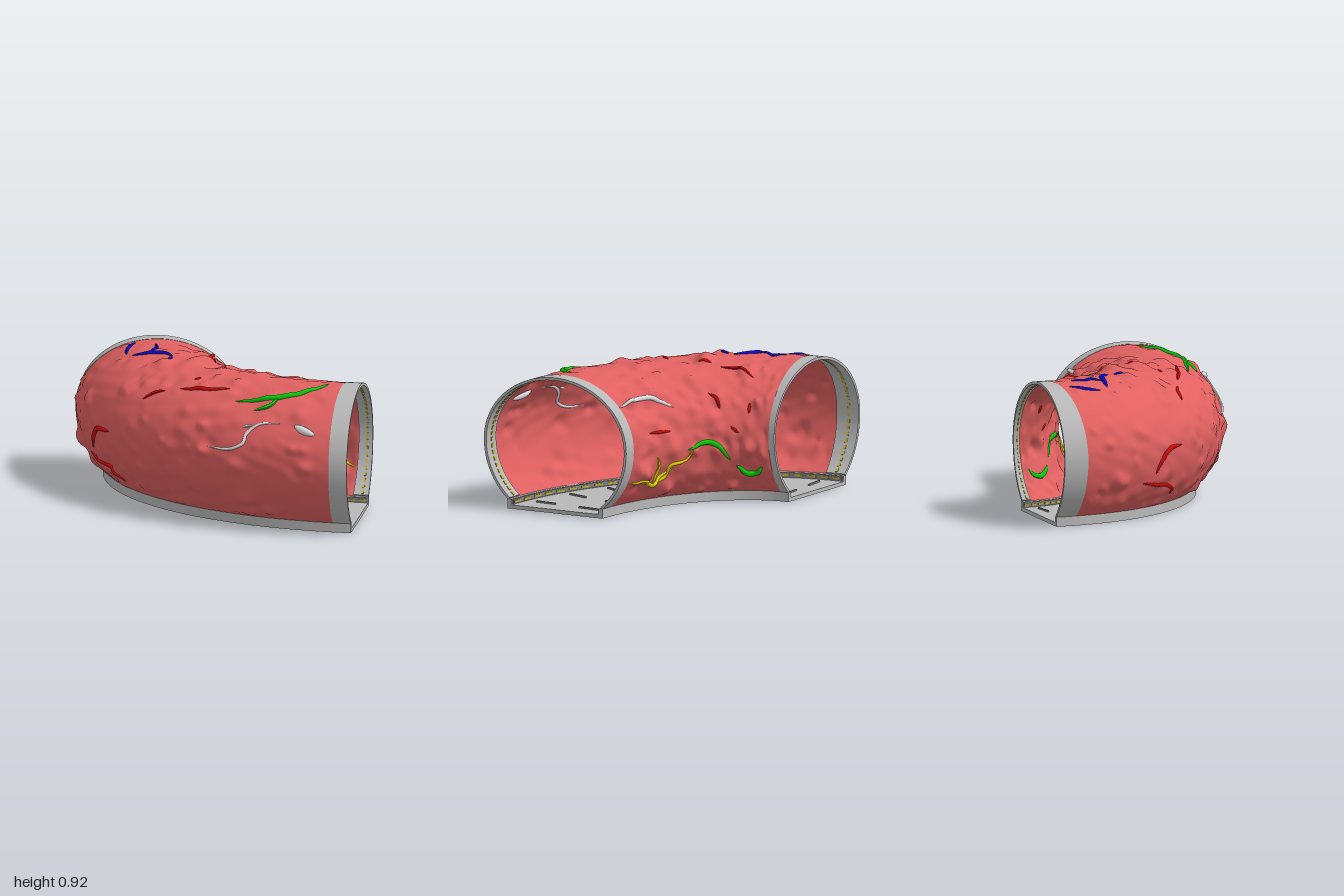
import * as THREE from 'three';
import { mergeGeometries, toCreasedNormals } from 'three/addons/utils/BufferGeometryUtils.js';

const HALF = Math.PI / 2, W = 0.53, MID = 0.44, A0 = -0.849, A1 = Math.PI + 0.849;
const mat = (name, color) => Object.assign(new THREE.MeshStandardMaterial({ color, side: THREE.DoubleSide }), { name });

// The tunnel follows a quarter ellipse: t = angle along it, u = offset across it.
const at = (t, u, y) => new THREE.Vector3(1 - (1.47 + u) * Math.cos(t), y, -0.8 + (1.07 + u) * Math.sin(t));
const rise = (s) => (s > 0 ? 0.44 : 0.506);
// Point on the arched section at angle a, pushed outward by d.
const arch = (t, a, d = 0) => {
  const c = Math.cos(a), s = Math.sin(a);
  return at(t, (W + d) * c, MID + (rise(s) + d) * s);
};
// Where the tissue wall meets the two end collars.
const startT = (a) => 0.0875 + 0.0125 * Math.cos(a);
const endT = (a) => HALF - 0.077 + 0.018 * Math.cos(a);

// Seeded lumps over the wall
let seed = 7;
const rnd = () => ((seed = (seed * 16807) % 2147483647) / 2147483647);
const lumps = Array.from({ length: 330 }, () => {
  const a = A0 + rnd() * (A1 - A0), inner = Math.cos(a) < 0;
  return {
    t: rnd() * HALF, a, r: 0.035 + rnd() * 0.04,
    h: (rnd() < 0.22 ? -0.012 : 0.006 + 0.024 * rnd() ** 3) * (inner ? 1.3 : 1),
  };
});
function bump(t, a) {
  let d = 0.003 * Math.sin(t * 31 + 3 * Math.sin(a * 5)) * Math.sin(a * 13 + t * 9);
  for (const l of lumps) {
    const x = (t - l.t) * (1.27 + 0.5 * Math.cos(a)), y = (a - l.a) * 0.5;
    const q = (x * x + y * y) / (l.r * l.r);
    if (q < 5) d += l.h * Math.exp(-q * 1.6);
  }
  const edge = Math.min(t - startT(a), endT(a) - t, (a - A0) * 0.6, (A1 - a) * 0.6);
  return d * THREE.MathUtils.clamp(edge / 0.06, 0, 1);
}

// Grid surface from rows of points
function surface(rows) {
  const n = rows[0].length, pos = [], idx = [];
  rows.forEach((row, i) => row.forEach((p, j) => {
    pos.push(p.x, p.y, p.z);
    if (i && j) {
      const d = i * n + j, b = d - n;
      idx.push(b - 1, d - 1, b, b, d - 1, d);
    }
  }));
  const g = new THREE.BufferGeometry();
  g.setAttribute('position', new THREE.Float32BufferAttribute(pos, 3));
  g.setIndex(idx);
  g.computeVertexNormals();
  return g;
}

// Capped solid swept through four-cornered sections
function solid(n, section) {
  const rows = [];
  for (let i = 0; i <= n; i++) {
    const s = section(i / n);
    rows.push([...s, s[0]]);
  }
  const cap = (r) => {
    const c = new THREE.Vector3();
    for (let k = 0; k < 4; k++) c.addScaledVector(r[k], 0.25);
    return r.map(() => c);
  };
  return toCreasedNormals(surface([cap(rows[0]), ...rows, cap(rows[n])]), 0.6);
}
const mix = THREE.MathUtils.lerp;
// Bar running along the tunnel
const rail = (n, t0, t1, u0, u1, y0, y1) => solid(n, (k) => {
  const t = mix(t0, t1, k);
  return [at(t, u0, y0), at(t, u1, y0), at(t, u1, y1), at(t, u0, y1)];
});
// Band running around the arch between t = f0(a) and f1(a)
const band = (n, a0, a1, f0, f1, d0, d1) => solid(n, (k) => {
  const a = mix(a0, a1, k);
  return [arch(f0(a), a, d0), arch(f1(a), a, d0), arch(f1(a), a, d1), arch(f0(a), a, d1)];
});

// Locators giving [t, a] on the wall from plan, front or side positions
const angleOf = (y, side) => {
  const a = Math.asin(THREE.MathUtils.clamp((y - MID) / rise(y - MID), -0.75, 1));
  return side > 0 ? a : Math.PI - a;
};
const unit = (v) => THREE.MathUtils.clamp(v, 0, 1);
const plan = ([x, z]) => {
  let lo = -W, hi = W;
  for (let i = 0; i < 30; i++) {
    const u = (lo + hi) / 2;
    if (Math.hypot((1 - x) / (1.47 + u), (z + 0.8) / (1.07 + u)) > 1) lo = u; else hi = u;
  }
  return [Math.atan2((z + 0.8) / (1.07 + lo), (1 - x) / (1.47 + lo)), Math.acos(lo / W)];
};
const front = (side) => ([x, y]) => {
  const a = angleOf(y, side);
  return [Math.acos(unit((1 - x) / (1.47 + W * Math.cos(a)))), a];
};
const flank = (side) => ([z, y]) => {
  const a = angleOf(y, side);
  return [Math.asin(unit((z + 0.8) / (1.07 + W * Math.cos(a)))), a];
};

// Tapered vessel lying in the wall
function vein(locate, points, radius) {
  const path = new THREE.CatmullRomCurve3(points.map((p) => new THREE.Vector3(...locate(p), 0)));
  const n = 28, R = 8;
  const curve = new THREE.CatmullRomCurve3(path.getPoints(n).map((p) => arch(p.x, p.y, bump(p.x, p.y) + 0.002)));
  const g = new THREE.TubeGeometry(curve, n, radius, R, false);
  const pos = g.attributes.position, v = new THREE.Vector3();
  for (let i = 0; i <= n; i++) {
    const c = curve.getPointAt(i / n), s = Math.max(0.05, Math.sin((Math.PI * i) / n) ** 0.6);
    for (let j = 0; j <= R; j++) {
      const k = i * (R + 1) + j;
      v.fromBufferAttribute(pos, k).sub(c).multiplyScalar(s).add(c);
      pos.setXYZ(k, v.x, v.y, v.z);
    }
  }
  g.computeVertexNormals();
  return g;
}

export function createModel() {
  const model = new THREE.Group();
  const grey = mat('frame grey', 0xb8b8b8), dark = mat('dark grey', 0x808080), tissue = mat('tissue pink', 0xe06060);
  const red = mat('vein red', 0xd00808), blue = mat('vein blue', 0x0808c8), green = mat('vein green', 0x08cc08);
  const white = mat('pale white', 0xe4e4e4), yellow = mat('vein yellow', 0xd8d000), gold = mat('light gold', 0xc8b030);
  const add = (name, geo, m) => {
    const mesh = new THREE.Mesh(Array.isArray(geo) ? mergeGeometries(geo) : geo, m);
    mesh.name = name;
    model.add(mesh);
  };

  // Lumpy wall
  const rows = [];
  for (let i = 0; i <= 220; i++) {
    const row = [];
    for (let j = 0; j <= 150; j++) {
      const a = mix(A0, A1, j / 150), t = mix(startT(a), endT(a), i / 220);
      row.push(arch(t, a, bump(t, a)));
    }
    rows.push(row);
  }
  add('tissueWall', surface(rows), tissue);

  // End collars with a ring of small lights inside each
  add('backCollar', band(80, A0, A1, () => 0, startT, 0.002, -0.016), grey);
  add('sideCollar', band(80, A0, A1, endT, () => HALF, 0.002, -0.016), grey);
  const lights = [];
  for (const t of [0.045, HALF - 0.035]) {
    for (let i = 0; i < 56; i++) {
      const a = mix(A0, A1, (i + 0.2) / 56), b = mix(A0, A1, (i + 0.8) / 56);
      lights.push(band(1, a, b, () => t - 0.006, () => t + 0.006, -0.015, -0.021));
    }
  }
  add('collarLights', lights, gold);

  // Floor, kerbs and lit skirting
  add('floor', rail(60, 0, HALF, -0.325, 0.325, 0, 0.025), grey);
  add('kerbs', [-1, 1].map((s) => rail(60, 0, HALF, s * 0.325, s * 0.355, 0, 0.062)), grey);
  add('skirting', [-1, 1].map((s) => rail(60, 0.005, HALF - 0.005, s * 0.317, s * 0.326, 0.028, 0.06)), dark);
  const dashes = [];
  for (const s of [-1, 1]) {
    for (let i = 0; i < 25; i++) {
      const t = ((i + 0.2) / 25) * HALF;
      dashes.push(rail(2, t, t + 0.038, s * 0.312, s * 0.318, 0.038, 0.05));
    }
  }
  add('skirtingLights', dashes, gold);

  // Short bars across the floor
  const bars = [];
  for (let i = 0; i < 8; i++) {
    for (const u of [-0.17, 0.17]) {
      const t = ((i + 0.5) / 8) * HALF, w = 0.006 / (1.27 + u);
      bars.push(rail(1, t - w, t + w, u - 0.075, u + 0.075, 0.024, 0.036));
    }
  }
  add('floorBars', bars, dark);

  // Vessels on the wall
  const outer = front(1), innerX = front(-1), inner = flank(-1), outerZ = flank(1);
  const veins = (name, m, list) => add(name, list.map(([f, r, ...p]) => vein(f, p, r)), m);
  veins('blueVeins', blue, [
    [plan, 0.012, [-0.6, -0.64], [-0.635, -0.53], [-0.63, -0.44]],
    [plan, 0.012, [-0.46, -0.58], [-0.44, -0.48], [-0.47, -0.37]],
    [plan, 0.017, [-0.58, -0.38], [-0.45, -0.36], [-0.36, -0.34], [-0.3, -0.28]],
    [plan, 0.011, [-0.3, -0.24], [-0.31, -0.18]],
  ]);
  veins('greenVeins', green, [
    [plan, 0.019, [0.22, 0.44], [0.38, 0.47], [0.55, 0.46], [0.7, 0.39], [0.8, 0.27]],
    [plan, 0.014, [0.36, 0.54], [0.45, 0.53], [0.51, 0.47]],
    [inner, 0.017, [-0.37, 0.38], [-0.43, 0.42], [-0.48, 0.4], [-0.53, 0.29]],
    [inner, 0.019, [-0.55, 0.25], [-0.6, 0.2], [-0.65, 0.2], [-0.7, 0.25]],
  ]);
  veins('redVeins', red, [
    [plan, 0.011, [-0.08, -0.56], [-0.09, -0.44], [-0.05, -0.33]],
    [plan, 0.01, [-0.06, -0.26], [-0.01, -0.19]],
    [plan, 0.008, [0.08, -0.02], [0.085, 0.02]],
    [plan, 0.012, [-0.42, 0.18], [-0.33, 0.18], [-0.27, 0.2]],
    [plan, 0.014, [-0.17, 0.23], [0, 0.29], [0.17, 0.33]],
    [plan, 0.008, [-0.09, 0.155], [-0.05, 0.14]],
    [outerZ, 0.016, [-0.12, 0.3], [-0.07, 0.39], [0, 0.46], [0.1, 0.465]],
    [outer, 0.013, [-0.82, 0.25], [-0.7, 0.22], [-0.62, 0.19], [-0.55, 0.13]],
    [inner, 0.012, [-0.38, 0.72], [-0.43, 0.68], [-0.47, 0.62]],
    [inner, 0.01, [-0.61, 0.65], [-0.62, 0.59]],
    [inner, 0.01, [-0.54, 0.51], [-0.58, 0.47]],
    [inner, 0.01, [-0.27, 0.53], [-0.32, 0.52]],
  ]);
  veins('paleVeins', white, [
    [plan, 0.017, [0.45, -0.29], [0.55, -0.22], [0.68, -0.16], [0.9, -0.15]],
    [outer, 0.011, [0.06, 0.53], [0.2, 0.53], [0.3, 0.57], [0.33, 0.64], [0.43, 0.7], [0.55, 0.71]],
    [outer, 0.009, [0.3, 0.67], [0.36, 0.685]],
    [outer, 0.027, [0.64, 0.705], [0.71, 0.68], [0.78, 0.66]],
  ]);
  veins('yellowVeins', yellow, [
    [inner, 0.012, [-0.22, 0.2], [-0.27, 0.22], [-0.31, 0.3], [-0.36, 0.32], [-0.39, 0.4]],
    [innerX, 0.014, [0.9, 0.22], [0.78, 0.25], [0.68, 0.2], [0.58, 0.24], [0.5, 0.28]],
    [innerX, 0.011, [0.68, 0.2], [0.63, 0.29], [0.66, 0.37]],
  ]);
  return model;
}
